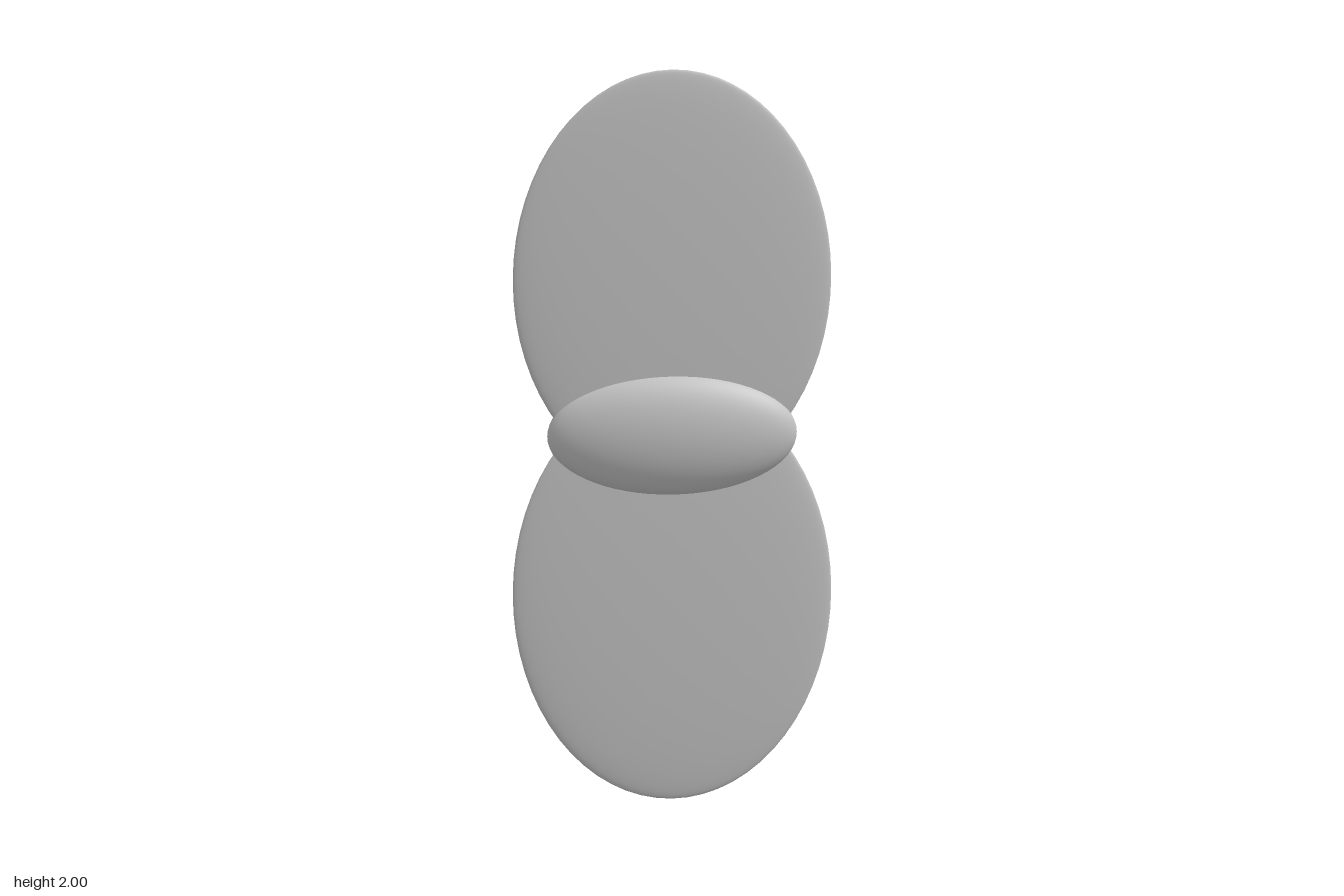
import * as THREE from 'three';

// Smooth ellipsoid with the given half sizes, its poles along z for a clean outline
function ellipsoid(name, rx, ry, rz, y, material) {
  const geometry = new THREE.SphereGeometry(1, 64, 40);
  geometry.rotateX(Math.PI / 2);
  geometry.scale(rx, ry, rz);
  const mesh = new THREE.Mesh(geometry, material);
  mesh.name = name;
  mesh.position.y = y;
  return mesh;
}

export function createModel() {
  const model = new THREE.Group();
  model.name = 'twoBladeRotor';

  const grey = new THREE.MeshStandardMaterial({ color: 0xc4c4c4 });
  grey.name = 'light grey';

  // Rounded hub across the middle
  model.add(ellipsoid('hub', 0.337, 0.168, 0.08, 1, grey));

  // Thin blades mirrored above and below the hub
  for (const [name, side] of [['upperBlade', 1], ['lowerBlade', -1]]) {
    model.add(ellipsoid(name, 0.43, 0.57, 0.024, 1 + side * 0.43, grey));
  }

  return model;
}
